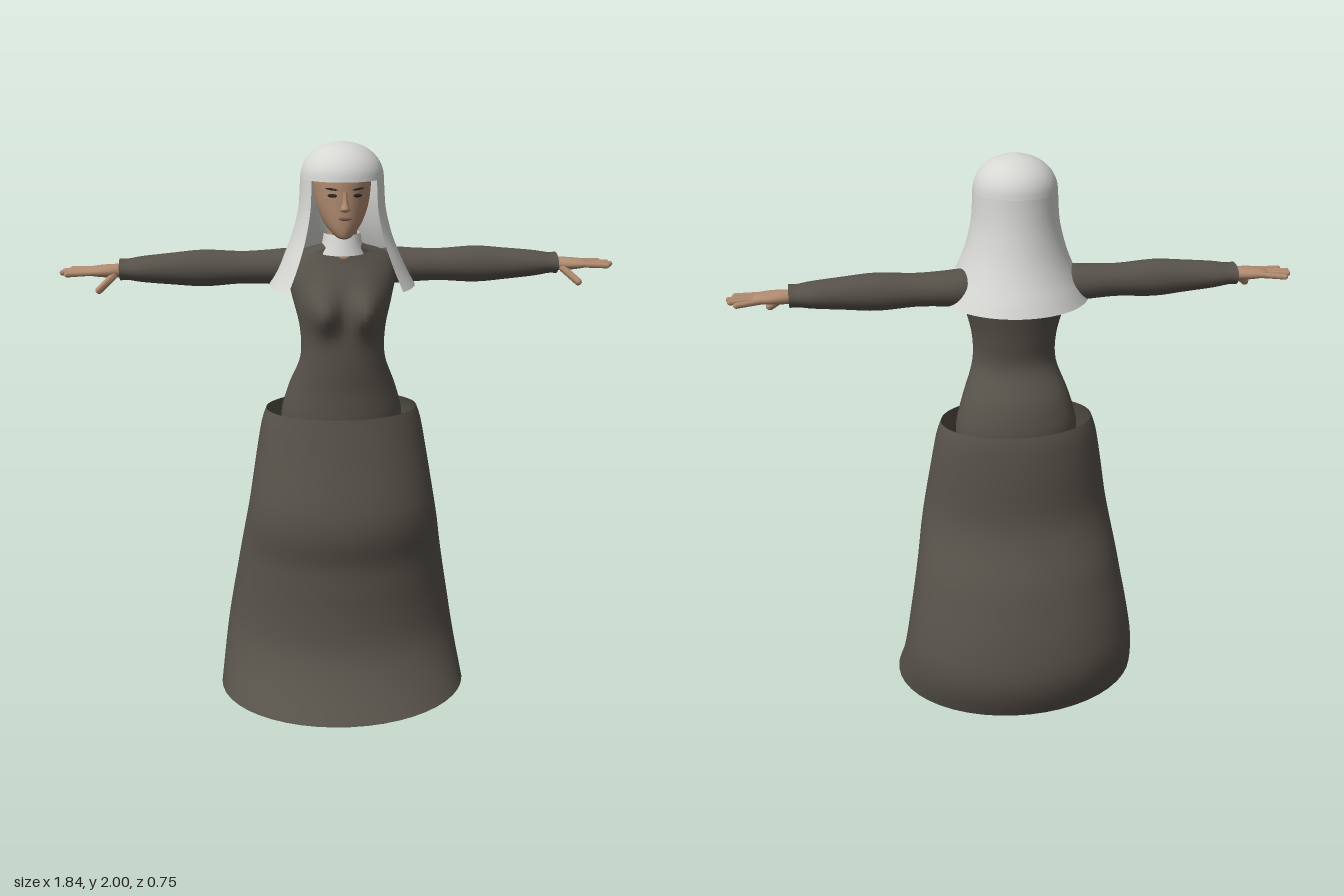
import * as THREE from 'three';

const paint = (name, color, side = THREE.FrontSide) => {
  const m = new THREE.MeshStandardMaterial({ color, side });
  m.name = name;
  return m;
};

// Catmull-Rom refinement of profile rows, column by column
function smooth(rows, n = 5) {
  const out = [];
  const at = i => rows[Math.min(Math.max(i, 0), rows.length - 1)];
  for (let i = 0; i < rows.length - 1; i++) {
    for (let k = 0; k < n; k++) {
      const t = k / n;
      out.push(rows[i].map((p1, c) => {
        const p0 = at(i - 1)[c], p2 = at(i + 1)[c], p3 = at(i + 2)[c];
        return p1 + 0.5 * t * (p2 - p0 + t * (2 * p0 - 5 * p1 + 4 * p2 - p3 + t * (3 * (p1 - p2) + p3 - p0)));
      }));
    }
  }
  out.push(rows[rows.length - 1]);
  return out;
}

// Skin through rows [y, half width, front z, back z, centre x].
// A gap (radians either side of the front) leaves the surface open.
function loft(rows, { seg = 32, gap = 0, rule } = {}) {
  const pos = [], index = [], cols = gap ? seg + 1 : seg;
  for (const [y, w, f, b, cx = 0] of rows) {
    for (let j = 0; j < cols; j++) {
      const t = gap + (2 * Math.PI - 2 * gap) * j / seg;
      const p = new THREE.Vector3(cx + w * Math.sin(t), y, (f + b) / 2 + (f - b) / 2 * Math.cos(t));
      if (rule) rule(p);
      pos.push(p.x, p.y, p.z);
    }
  }
  for (let i = 0; i < rows.length - 1; i++) {
    for (let j = 0; j < seg; j++) {
      const k = (j + 1) % cols, a = i * cols, b = a + cols;
      index.push(a + j, a + k, b + j, a + k, b + k, b + j);
    }
  }
  const g = new THREE.BufferGeometry();
  g.setAttribute('position', new THREE.Float32BufferAttribute(pos, 3));
  g.setIndex(index);
  g.computeVertexNormals();
  return g;
}

// Rounded finger between two points
function finger(a, b, r) {
  const from = new THREE.Vector3(...a), to = new THREE.Vector3(...b), d = to.clone().sub(from);
  const g = new THREE.CapsuleGeometry(r, d.length(), 4, 8);
  g.applyQuaternion(new THREE.Quaternion().setFromUnitVectors(new THREE.Vector3(0, 1, 0), d.normalize()));
  return g.translate(...from.add(to).multiplyScalar(0.5).toArray());
}

// Mirror across x, keeping faces outward
function mirrored(geo) {
  const g = geo.clone().scale(-1, 1, 1), ix = g.index.array;
  for (let i = 0; i < ix.length; i += 3) [ix[i], ix[i + 1]] = [ix[i + 1], ix[i]];
  g.computeVertexNormals();
  return g;
}

export function createModel() {
  const model = new THREE.Group();
  const cloth = paint('dark cloth', 0x57524a, THREE.DoubleSide);
  const linen = paint('pale linen', 0xd6d6d3, THREE.DoubleSide);
  const skin = paint('skin', 0xb08b70);
  const shoe = paint('shoe leather', 0x4a453f);
  const dark = paint('brow and eye', 0x2e2522);
  const lip = paint('lips', 0x7d5a55);

  const add = (name, geo, mat) => {
    const m = new THREE.Mesh(geo, mat);
    m.name = name;
    model.add(m);
  };
  const pair = (name, geo, mat) => {
    add('left ' + name, geo, mat);
    add('right ' + name, mirrored(geo), mat);
  };

  // Long skirt, open at waist and hem
  add('skirt', loft(smooth([
    [0.08, 0.44, 0.38, -0.315], [0.18, 0.425, 0.29, -0.36], [0.28, 0.41, 0.235, -0.375],
    [0.4, 0.39, 0.22, -0.355], [0.5, 0.372, 0.22, -0.325], [0.6, 0.355, 0.222, -0.29],
    [0.7, 0.338, 0.243, -0.24], [0.8, 0.32, 0.24, -0.207], [0.95, 0.295, 0.2, -0.2],
    [1.06, 0.275, 0.172, -0.19], [1.11, 0.258, 0.16, -0.178],
  ], 3), { seg: 48 }), cloth);

  // Fitted bodice with bust
  add('bodice', loft(smooth([
    [1.07, 0.208, 0.135, -0.15], [1.12, 0.202, 0.137, -0.147], [1.2, 0.178, 0.137, -0.122],
    [1.3, 0.142, 0.143, -0.062], [1.4, 0.142, 0.14, -0.07], [1.5, 0.165, 0.128, -0.09],
    [1.57, 0.18, 0.105, -0.105], [1.62, 0.17, 0.08, -0.1], [1.65, 0.13, 0.07, -0.08],
    [1.67, 0.075, 0.08, -0.04], [1.69, 0.05, 0.075, -0.03],
  ]), {
    seg: 48,
    rule: p => {
      if (p.z > 0.03) p.z += 0.068 * Math.exp(-((Math.abs(p.x) - 0.072) ** 2) / 0.0025 - (p.y - 1.47) ** 2 / 0.0045);
    },
  }), cloth);

  // Sleeves, lofted upward then laid along x
  pair('sleeve', loft(smooth([
    [0.1, 0.045, 0.02, -0.09], [0.17, 0.06, 0.028, -0.1], [0.24, 0.056, 0.028, -0.098],
    [0.33, 0.053, 0.025, -0.092], [0.45, 0.06, 0.028, -0.092], [0.55, 0.052, 0.028, -0.088],
    [0.65, 0.042, 0.027, -0.086], [0.7, 0.034, 0.022, -0.082], [0.725, 0.035, 0.024, -0.084],
  ], 4), { seg: 24 }).rotateZ(-Math.PI / 2).translate(0, 1.59, 0), cloth);

  // Hands
  pair('palm', loft(smooth([
    [0.66, 0.022, 0.0, -0.055], [0.72, 0.022, 0.002, -0.056], [0.76, 0.021, 0.014, -0.064],
    [0.8, 0.017, 0.018, -0.068], [0.83, 0.011, 0.012, -0.068], [0.84, 0, -0.01, -0.045],
  ], 3), { seg: 16 }).rotateZ(-Math.PI / 2).translate(0, 1.587, 0), skin);
  [[-0.06, 0.885, -0.079], [-0.038, 0.905, -0.046], [-0.016, 0.91, -0.019], [0.006, 0.892, 0.013]]
    .forEach(([z0, x1, z1], i) =>
      pair('finger ' + (i + 1), finger([0.81, 1.587, z0], [x1, 1.584, z1], 0.0095), skin));
  pair('thumb', finger([0.745, 1.575, 0], [0.79, 1.536, 0.036], 0.0125), skin);

  // Legs and shoes
  pair('leg', loft(smooth([
    [0.05, 0.038, -0.025, -0.105], [0.15, 0.037, -0.025, -0.1], [0.35, 0.055, 0.005, -0.11],
    [0.55, 0.055, 0.03, -0.08], [0.85, 0.08, 0.08, -0.1, 0], [1.09, 0.09, 0.1, -0.11],
  ].map(r => [...r.slice(0, 4), 0.14 - 0.04 * r[0]]), 3), { seg: 20 }), skin);
  pair('shoe', loft([
    [0.005, 0, 0.03, 0.03], [0.005, 0.052, 0.158, -0.105], [0.02, 0.063, 0.173, -0.115],
    [0.04, 0.064, 0.168, -0.117], [0.055, 0.06, 0.14, -0.116], [0.07, 0.054, 0.075, -0.114],
    [0.085, 0.048, 0.015, -0.112], [0.1, 0.044, -0.01, -0.11],
  ], { seg: 24, rule: p => { p.x += 0.135 + 0.1 * (p.z + 0.02); } }), shoe);

  // Head, neck and face
  add('neck', loft([[1.62, 0.05, 0.075, -0.04], [1.76, 0.048, 0.075, -0.035]]), skin);
  add('head', loft(smooth([
    [1.7, 0, 0.09, 0.07], [1.704, 0.022, 0.118, 0.04], [1.725, 0.046, 0.128, -0.02],
    [1.755, 0.066, 0.132, -0.06], [1.8, 0.083, 0.133, -0.085], [1.85, 0.091, 0.134, -0.095],
    [1.9, 0.09, 0.13, -0.09], [1.95, 0.06, 0.09, -0.06], [1.965, 0, 0.02, 0],
  ], 4)), skin);
  add('nose', loft(smooth([
    [1.788, 0, 0.13, 0.12], [1.794, 0.015, 0.148, 0.115], [1.802, 0.015, 0.157, 0.115],
    [1.82, 0.009, 0.147, 0.115], [1.852, 0.008, 0.137, 0.115],
  ], 3), { seg: 12 }), skin);
  const plate = (w, h, x, y, z, turn, tilt = 0) =>
    new THREE.SphereGeometry(1, 14, 8).scale(w, h, 0.0045).rotateZ(tilt).rotateY(turn).translate(x, y, z);
  pair('eye', plate(0.016, 0.006, 0.04, 1.841, 0.124, 0.45), dark);
  pair('brow', plate(0.021, 0.0035, 0.042, 1.861, 0.122, 0.45, 0.1), dark);
  add('mouth', plate(0.021, 0.006, 0, 1.769, 0.131, 0), lip);

  // Linen collar, cap and long veil
  add('collar', loft(smooth([
    [1.645, 0.078, 0.1, -0.06], [1.675, 0.066, 0.092, -0.05], [1.71, 0.06, 0.083, -0.045],
  ], 3)), linen);
  add('cap', loft(smooth([
    [1.885, 0.135, 0.155, -0.125], [1.915, 0.13, 0.15, -0.12], [1.945, 0.115, 0.133, -0.104],
    [1.972, 0.087, 0.103, -0.074], [1.99, 0.05, 0.067, -0.037], [2, 0, 0.015, 0.015],
  ], 4), { seg: 40 }), linen);
  add('veil', loft(smooth([
    [1.54, 0.24, 0.255, -0.225], [1.58, 0.218, 0.235, -0.207], [1.63, 0.193, 0.215, -0.182],
    [1.7, 0.164, 0.183, -0.155], [1.78, 0.143, 0.163, -0.136], [1.84, 0.137, 0.157, -0.128],
    [1.886, 0.135, 0.155, -0.125],
  ], 3), { seg: 44, gap: 0.87 }), linen);

  return model;
}
